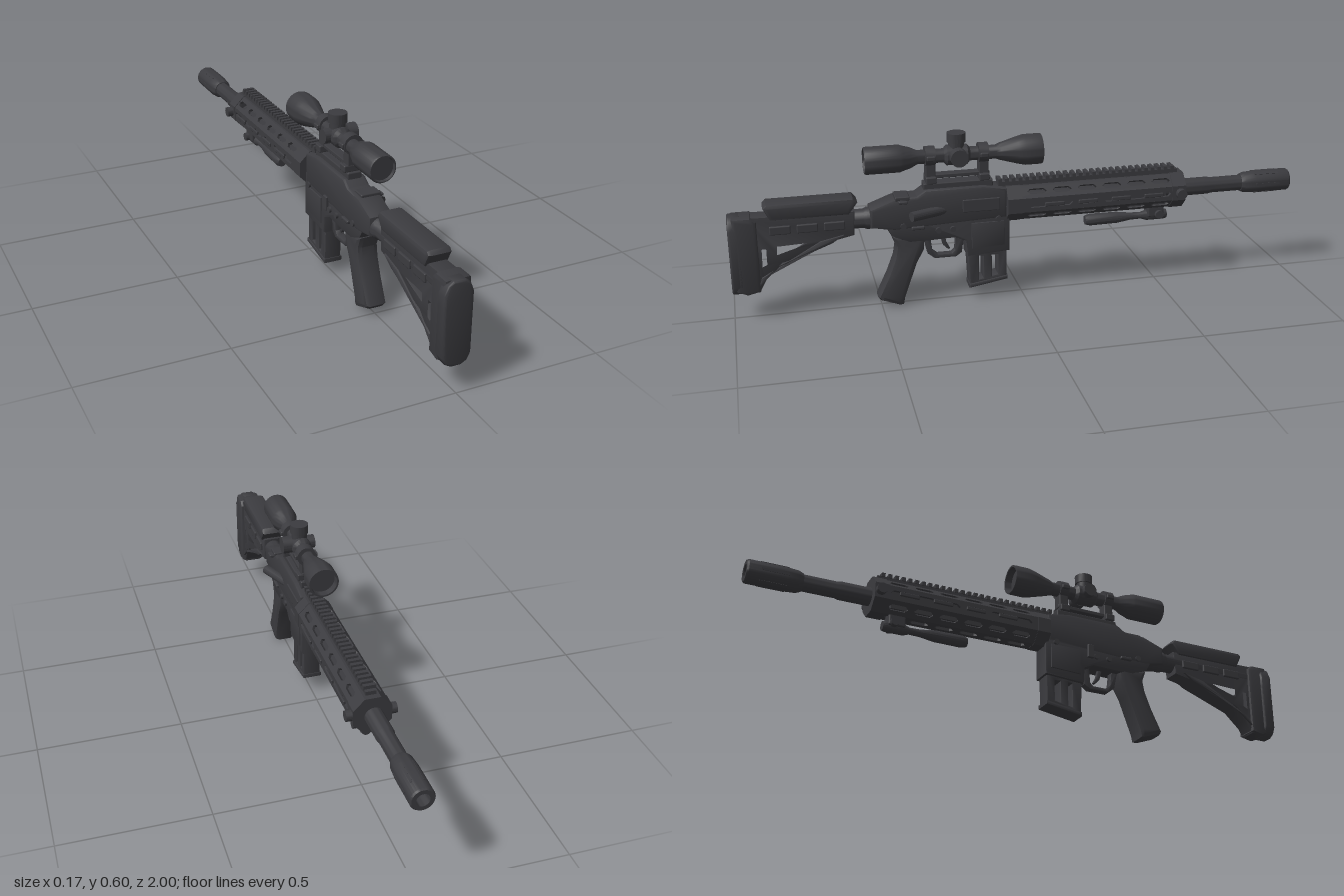
import * as THREE from 'three';
import { toCreasedNormals } from 'three/addons/utils/BufferGeometryUtils.js';
import { RoundedBoxGeometry } from 'three/addons/geometries/RoundedBoxGeometry.js';

export function createModel() {
  const root = new THREE.Group();
  root.name = 'scopedRifle';
  const metal = new THREE.MeshStandardMaterial({ color: 0x3b3b3f });
  metal.name = 'charcoal';

  const add = (name, geo, x = 0, y = 0, z = 0, parent = root) => {
    const m = new THREE.Mesh(geo, metal);
    m.name = name;
    m.position.set(x, y, z);
    parent.add(m);
    return m;
  };
  const box = (name, w, h, d, x, y, z, r = 0) => add(name,
    r ? new RoundedBoxGeometry(w, h, d, 2, r) : new THREE.BoxGeometry(w, h, d), x, y, z);
  const path = (pts) => pts.map(([a, b]) => new THREE.Vector2(a, b));

  // Side outline in (z, y), given a width along x
  const slab = (name, pts, width, holes = [], bevel = 0.006, x = 0) => {
    const s = new THREE.Shape(path(pts));
    holes.forEach((h) => s.holes.push(new THREE.Path(path(h))));
    const depth = width - 2 * bevel;
    const g = new THREE.ExtrudeGeometry(s, {
      depth, bevelEnabled: bevel > 0, bevelThickness: bevel, bevelSize: bevel, bevelOffset: -bevel, bevelSegments: 2,
    });
    g.translate(0, 0, -depth / 2);
    g.rotateY(-Math.PI / 2);
    return add(name, toCreasedNormals(g, 0.6), x);
  };
  // Turned part along z from (radius, z) points, listed front to rear
  const turned = (name, pts, y, x = 0, sides = 28) => {
    const g = new THREE.LatheGeometry(path(pts), sides);
    g.rotateX(Math.PI / 2);
    return add(name, toCreasedNormals(g, 0.6), x, y);
  };
  const rect = (z0, z1, y0, y1) => [[z0, y0], [z1, y0], [z1, y1], [z0, y1]];
  const knob = (name, r, len, axis, x, y, z) => {
    const m = add(name, toCreasedNormals(new THREE.CylinderGeometry(r, r, len, 20), 0.6), x, y, z);
    if (axis === 'x') m.rotation.z = Math.PI / 2;
    if (axis === 'z') m.rotation.x = Math.PI / 2;
    return m;
  };

  // Barrel and hollow muzzle device
  turned('barrel', [[0, -0.86], [0.028, -0.86], [0.028, -0.7], [0.031, -0.69], [0.031, 0.06], [0, 0.06]], 0.342, -0.004);
  turned('muzzleDevice', [[0, -0.93], [0.02, -0.93], [0.022, -1], [0.036, -1], [0.04, -0.994],
    [0.04, -0.87], [0.037, -0.83], [0.031, -0.815], [0, -0.815]], 0.342, -0.004);
  for (let i = 0; i < 6; i++) {
    const a = i * Math.PI / 3;
    box('muzzleRib', 0.008, 0.008, 0.09, -0.004 + Math.cos(a) * 0.037, 0.342 + Math.sin(a) * 0.037, -0.91).rotation.z = a;
  }

  // Eight-sided handguard with rows of slots
  const guard = new THREE.Group();
  guard.name = 'handguard';
  guard.position.set(0, 0.345, 0);
  root.add(guard);
  for (let i = 0; i < 8; i++) {
    const s = new THREE.Shape(path(rect(-0.57, 0.05, -0.0255, 0.0255)));
    if (i !== 2) for (let k = 0; k < 6; k++) {
      const z = -0.53 + k * 0.09;
      s.holes.push(new THREE.Path(path([[z, 0], [z + 0.01, -0.01], [z + 0.058, -0.01],
        [z + 0.068, 0], [z + 0.058, 0.01], [z + 0.01, 0.01]])));
    }
    const g = new THREE.ExtrudeGeometry(s, { depth: 0.01, bevelEnabled: false });
    g.rotateY(-Math.PI / 2);
    g.translate(0.0615, 0, 0);
    add('slottedPanel', g, 0, 0, 0, guard).rotation.z = i * Math.PI / 4;
  }
  // Liner, end collars and side lugs
  box('handguardLiner', 0.078, 0.07, 0.54, 0, 0.335, -0.25);
  const collar = (z, len, r) => {
    const g = new THREE.CylinderGeometry(r, r, len, 8);
    g.rotateY(Math.PI / 8);
    g.rotateX(Math.PI / 2);
    add('handguardCollar', toCreasedNormals(g, 0.3), 0, 0.345, z);
  };
  collar(-0.56, 0.05, 0.069);
  collar(0.035, 0.05, 0.068);
  for (const s of [-1, 1]) {
    knob('sideLug', 0.018, 0.024, 'x', s * 0.072, 0.345, -0.565);
    for (let k = 0; k < 4; k++) box('sideRib', 0.008, 0.014, 0.07, s * 0.064, 0.345, -0.465 + k * 0.12, 0.003);
  }

  // Toothed top rail
  box('topRail', 0.036, 0.022, 0.65, 0, 0.411, -0.24);
  for (let z = -0.545; z < 0.1; z += 0.024) box('railTooth', 0.042, 0.014, 0.013, 0, 0.427, z);

  // Folded support below the handguard
  turned('foldedSupport', [[0, -0.535], [0.016, -0.535], [0.019, -0.525], [0.019, -0.46], [0.012, -0.44],
    [0.013, -0.40], [0.02, -0.35], [0.021, -0.25], [0.016, -0.232], [0, -0.232]], 0.249, 0, 18);
  box('supportClamp', 0.05, 0.045, 0.06, 0, 0.27, -0.49, 0.006);
  knob('supportPivot', 0.015, 0.075, 'x', 0, 0.258, -0.5);

  // Upper and lower receiver
  slab('upperReceiver', [[0.06, 0.30], [0.06, 0.405], [0.14, 0.42], [0.34, 0.42], [0.37, 0.40], [0.45, 0.395],
    [0.53, 0.365], [0.53, 0.30], [0.45, 0.285]], 0.085, [], 0.01);
  slab('lowerReceiver', [[0.05, 0.175], [0.05, 0.34], [0.42, 0.34], [0.48, 0.30], [0.46, 0.265], [0.40, 0.235],
    [0.24, 0.24], [0.205, 0.225], [0.20, 0.165]], 0.08, [], 0.007);
  slab('magazineWellPanel', [[0.07, 0.20], [0.07, 0.29], [0.185, 0.29], [0.185, 0.195]], 0.09, [], 0.004);
  box('ejectionCover', 0.008, 0.045, 0.13, 0.043, 0.355, 0.15, 0.003);
  box('boltCatch', 0.012, 0.05, 0.025, -0.044, 0.29, 0.225, 0.003);
  for (const [z, y] of [[0.09, 0.30], [0.25, 0.275], [0.30, 0.275], [0.42, 0.30]]) knob('receiverPin', 0.01, 0.096, 'x', 0, y, z);
  box('selectorLever', 0.1, 0.012, 0.045, 0, 0.29, 0.37, 0.004);

  // Angled plunger on the right and charging handle
  const plunger = knob('forwardPlunger', 0.017, 0.13, 'z', 0.05, 0.343, 0.335);
  plunger.rotation.set(Math.PI / 2, 0, -0.38);
  box('chargingHandle', 0.07, 0.014, 0.05, 0.008, 0.398, 0.42, 0.004);
  box('chargingLatch', 0.028, 0.01, 0.03, 0.044, 0.388, 0.42, 0.003);

  // Trigger, guard and pistol grip
  slab('triggerGuard', [[0.205, 0.25], [0.215, 0.175], [0.235, 0.16], [0.31, 0.16], [0.335, 0.18], [0.35, 0.25]], 0.028,
    [[[0.235, 0.24], [0.238, 0.185], [0.25, 0.173], [0.30, 0.173], [0.318, 0.188], [0.325, 0.24]]], 0.002);
  slab('trigger', [[0.275, 0.25], [0.268, 0.215], [0.255, 0.19], [0.262, 0.187], [0.28, 0.205], [0.292, 0.25]], 0.014, [], 0.002);
  slab('pistolGrip', [[0.345, 0.26], [0.35, 0.20], [0.375, 0.155], [0.42, 0.03], [0.425, 0.003], [0.44, 0.002],
    [0.505, 0.026], [0.514, 0.038], [0.475, 0.12], [0.452, 0.18], [0.445, 0.22], [0.46, 0.262]], 0.078, [], 0.017);

  // Open-sided magazine
  slab('magazine', [[0.058, 0.19], [0.06, 0.068], [0.19, 0.045], [0.197, 0.19]], 0.06,
    [[[0.09, 0.16], [0.09, 0.085], [0.112, 0.081], [0.112, 0.16]],
      [[0.142, 0.16], [0.142, 0.075], [0.158, 0.072], [0.158, 0.16]]], 0.004);
  slab('magazineFoot', [[0.056, 0.066], [0.056, 0.08], [0.193, 0.058], [0.193, 0.043]], 0.068, [], 0.004);

  // Stock tube and skeleton stock
  turned('stockTube', [[0, 0.45], [0.038, 0.45], [0.038, 0.54], [0.033, 0.55], [0.033, 0.92], [0, 0.92]], 0.325, -0.002);
  slab('stockFrame', [[0.94, 0.37], [0.94, 0.10], [0.91, 0.10], [0.885, 0.145], [0.83, 0.20], [0.74, 0.222],
    [0.66, 0.262], [0.585, 0.278], [0.58, 0.365]], 0.066,
  [[[0.90, 0.262], [0.90, 0.185], [0.873, 0.196], [0.873, 0.262]],
    [[0.85, 0.268], [0.85, 0.225], [0.77, 0.248], [0.735, 0.268]]], 0.006);
  slab('stockStrut', [[0.91, 0.125], [0.90, 0.155], [0.70, 0.268], [0.62, 0.285], [0.66, 0.258], [0.84, 0.19]], 0.078, [], 0.004);
  for (const s of [-1, 1]) for (let k = 0; k < 3; k++) box('stockRib', 0.012, 0.03, 0.07, s * 0.034, 0.32, 0.65 + k * 0.09, 0.004);
  slab('cheekRest', [[0.57, 0.395], [0.585, 0.412], [0.87, 0.412], [0.882, 0.40], [0.86, 0.355], [0.60, 0.355]], 0.084, [], 0.012);
  slab('buttBody', [[0.905, 0.105], [0.905, 0.355], [0.925, 0.372], [0.985, 0.372], [0.985, 0.11], [0.95, 0.095]], 0.088, [], 0.012);

  // Round-ended butt pad
  const pad = new THREE.Shape(path([[-0.048, 0.29], [-0.048, 0.13], [-0.036, 0.105], [-0.016, 0.094], [0.016, 0.094],
    [0.036, 0.105], [0.048, 0.13], [0.048, 0.33], [0.036, 0.361], [0.02, 0.373], [-0.02, 0.373], [-0.036, 0.361], [-0.048, 0.33]]));
  const padGeo = new THREE.ExtrudeGeometry(pad, { depth: 0.028, bevelThickness: 0.008, bevelSize: 0.006, bevelOffset: -0.006, bevelSegments: 3 });
  add('buttPad', toCreasedNormals(padGeo, 0.7), -0.004, 0, 0.964);

  // Scope mount with two rings
  box('mountBase', 0.05, 0.026, 0.24, 0, 0.426, 0.225, 0.004);
  box('mountBridge', 0.034, 0.014, 0.22, 0, 0.46, 0.225, 0.003);
  for (const z of [0.135, 0.318]) {
    box('mountPost', 0.04, 0.085, 0.034, 0, 0.47, z, 0.004);
    box('mountFoot', 0.066, 0.024, 0.036, 0, 0.45, z, 0.004);
    knob('scopeRing', 0.034, 0.034, 'z', 0, 0.53, z);
    box('ringClamp', 0.082, 0.016, 0.03, 0, 0.53, z, 0.004);
  }

  // Telescopic scope with recessed lenses and adjustment knobs
  turned('scopeBody', [[0, -0.045], [0.045, -0.045], [0.046, -0.07], [0.052, -0.07], [0.053, -0.062], [0.053, -0.01],
    [0.047, 0.015], [0.03, 0.075], [0.024, 0.09], [0.024, 0.18], [0.035, 0.19], [0.035, 0.26], [0.024, 0.27],
    [0.024, 0.36], [0.036, 0.385], [0.043, 0.41], [0.047, 0.42], [0.047, 0.535], [0.044, 0.54], [0.041, 0.54],
    [0.039, 0.53], [0, 0.53]], 0.527, -0.004, 36);
  knob('topTurret', 0.027, 0.03, 'y', -0.004, 0.566, 0.225);
  knob('topTurretCap', 0.032, 0.032, 'y', -0.004, 0.589, 0.225);
  knob('rightTurret', 0.03, 0.035, 'x', 0.043, 0.53, 0.225);
  knob('leftTurret', 0.024, 0.03, 'x', -0.042, 0.53, 0.225);

  return root;
}
